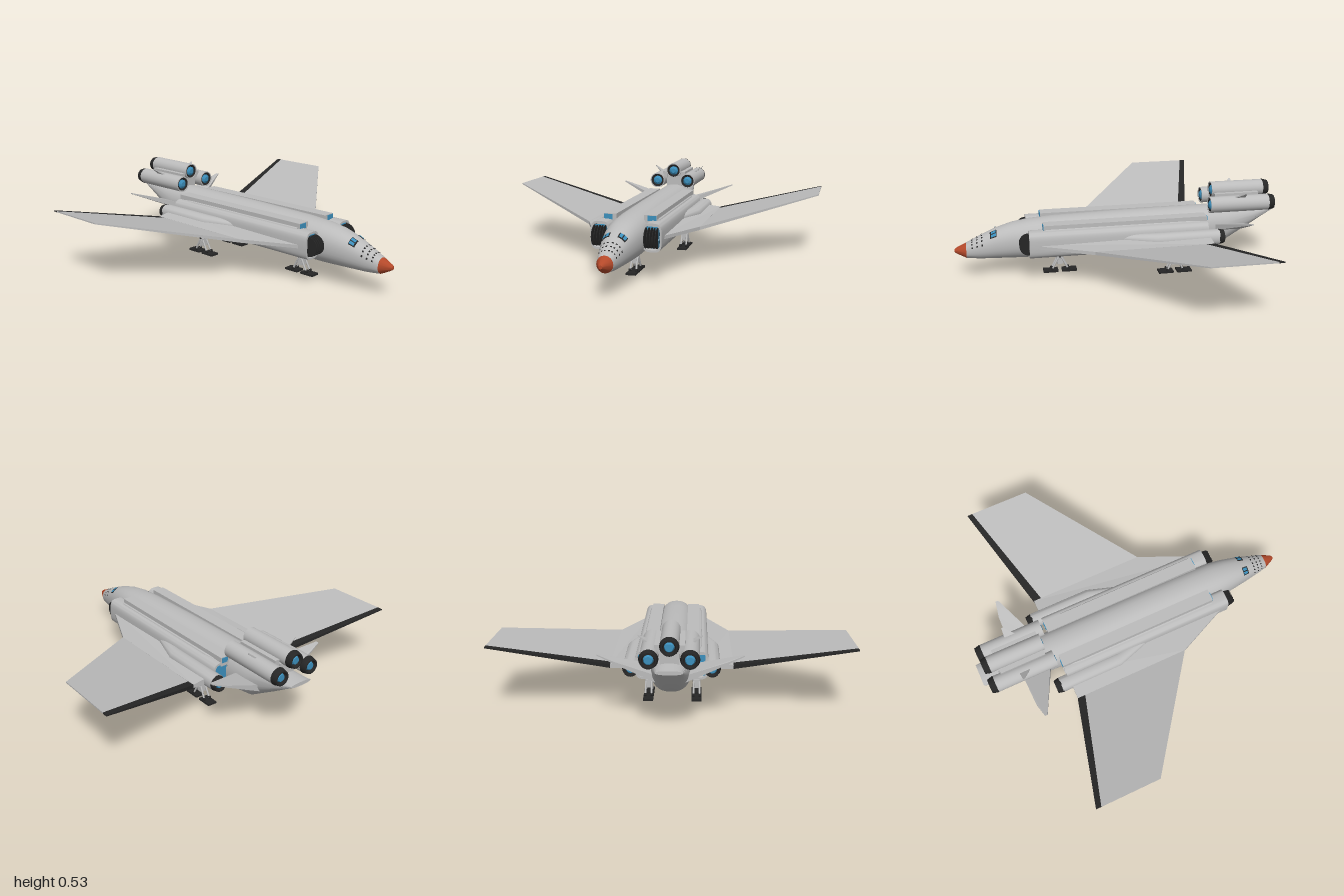
import * as THREE from 'three';
import { toCreasedNormals } from 'three/addons/utils/BufferGeometryUtils.js';

const material = (name, color) => {
  const m = new THREE.MeshStandardMaterial({ color });
  m.name = name;
  return m;
};

// Point on a superellipse section [z, cx, cy, halfWidth, halfHeight]
function ringPoint([z, cx, cy, w, h], a, n) {
  const c = Math.cos(a), s = Math.sin(a);
  return [cx + w * Math.sign(c) * Math.abs(c) ** (2 / n), cy + h * Math.sign(s) * Math.abs(s) ** (2 / n), z];
}

// Skin through sections listed front to back, with both ends capped
function loft(sections, n = 2, sides = 24) {
  const pos = [], index = [];
  for (const sec of sections)
    for (let j = 0; j < sides; j++) pos.push(...ringPoint(sec, (j / sides) * Math.PI * 2, n));
  for (let i = 0; i < sections.length - 1; i++)
    for (let j = 0; j < sides; j++) {
      const k = (j + 1) % sides, a = i * sides + j, b = i * sides + k;
      index.push(a, a + sides, b, b, a + sides, b + sides);
    }
  const last = (sections.length - 1) * sides;
  for (let j = 1; j < sides - 1; j++) index.push(0, j, j + 1, last, last + j + 1, last + j);
  const g = new THREE.BufferGeometry();
  g.setAttribute('position', new THREE.Float32BufferAttribute(pos, 3));
  g.setIndex(index);
  return toCreasedNormals(g, 0.6);
}

// Flat panel from corners [x, y, z, thickness]
function slab(corners) {
  let area = 0;
  corners.forEach((p, i) => {
    const q = corners[(i + 1) % corners.length];
    area += p[2] * q[0] - q[2] * p[0];
  });
  const c = area > 0 ? corners : [...corners].reverse();
  const pos = [];
  const top = (i) => [c[i][0], c[i][1] + c[i][3] / 2, c[i][2]];
  const low = (i) => [c[i][0], c[i][1] - c[i][3] / 2, c[i][2]];
  for (let i = 1; i < c.length - 1; i++)
    pos.push(...top(0), ...top(i), ...top(i + 1), ...low(0), ...low(i + 1), ...low(i));
  for (let i = 0; i < c.length; i++) {
    const k = (i + 1) % c.length;
    pos.push(...top(i), ...low(i), ...low(k), ...top(i), ...low(k), ...top(k));
  }
  const g = new THREE.BufferGeometry();
  g.setAttribute('position', new THREE.Float32BufferAttribute(pos, 3));
  g.computeVertexNormals();
  return g;
}

const HULL_N = 2.3;
const HULL = [[0.93, 0.13, 0.222, 0.045], [0.85, 0.122, 0.262, 0.062], [0.75, 0.12, 0.305, 0.083],
  [0.65, 0.118, 0.335, 0.1], [0.55, 0.117, 0.35, 0.112], [0.4, 0.117, 0.361, 0.114], [0, 0.117, 0.37, 0.114],
  [-0.5, 0.118, 0.375, 0.112], [-0.68, 0.145, 0.378, 0.108], [-0.85, 0.25, 0.376, 0.09], [-1, 0.348, 0.37, 0.07],
].map(([z, lo, hi, w]) => [z, 0, (lo + hi) / 2, w, (hi - lo) / 2]);

// Thin painted patch lying on the hull between two depths and two angles (degrees)
function hullPatch(z0, z1, a0, a1, lift) {
  const g = new THREE.PlaneGeometry(1, 1, 4, 2), p = g.attributes.position;
  for (let i = 0; i < p.count; i++) {
    const a = THREE.MathUtils.degToRad(a1 - (p.getX(i) + 0.5) * (a1 - a0));
    const z = z1 - (p.getY(i) + 0.5) * (z1 - z0);
    const k = HULL.findIndex((s) => s[0] <= z), f = HULL[k - 1], b = HULL[k];
    const t = (f[0] - z) / (f[0] - b[0]);
    const sec = f.map((v, j) => v + (b[j] - v) * t);
    sec[3] += lift;
    sec[4] += lift;
    p.setXYZ(i, ...ringPoint(sec, a, HULL_N));
  }
  g.computeVertexNormals();
  return g;
}

export function createModel() {
  const grey = material('hullGrey', 0xbcbcbc), black = material('black', 0x262626);
  const blue = material('engineBlue', 0x3c8fbc), orange = material('noseOrange', 0xb4492a);
  const model = new THREE.Group();
  model.name = 'spaceplane';
  const add = (name, geo, mat, x = 0, y = 0, z = 0, parent = model) => {
    const m = new THREE.Mesh(geo, mat);
    m.name = name;
    m.position.set(x, y, z);
    parent.add(m);
    return m;
  };
  const box = (name, w, h, d, mat, x, y, z, parent) => add(name, new THREE.BoxGeometry(w, h, d), mat, x, y, z, parent);
  const rod = (name, a, b, r, mat, parent) => {
    const from = new THREE.Vector3(...a), dir = new THREE.Vector3(...b).sub(from);
    const m = add(name, new THREE.CylinderGeometry(r, r, dir.length(), 8), mat, 0, 0, 0, parent);
    m.position.copy(from).addScaledVector(dir, 0.5);
    m.quaternion.setFromUnitVectors(new THREE.Vector3(0, 1, 0), dir.normalize());
  };
  const tube = (x, y, rows) => loft(rows.map(([z, r]) => [z, x, y, r, r]));

  // Fuselage and nose
  add('fuselage', loft(HULL, HULL_N, 32), grey);
  add('noseCone', loft([[1, 0, 0.178, 0.01, 0.01], [0.985, 0, 0.178, 0.02, 0.02],
    [0.93, 0, 0.176, 0.046, 0.047]], 2, 16), orange);

  // Black nozzle with a blue core, opening backwards
  const nozzle = (x, y, z, r) => {
    add('nozzle', tube(x, y, [[z + 0.01, r * 0.98], [z, r * 1.02], [z - 0.032, r * 0.86],
      [z - 0.032, r * 0.7], [z - 0.012, r * 0.6]]), black);
    add('nozzleCore', tube(x, y, [[z - 0.01, r * 0.55], [z - 0.026, r * 0.4]]), blue);
  };

  // Rear engine cluster
  const engine = (x, y, z0, z1) => {
    const r = 0.05;
    add('rearEngine', tube(x, y, [[z0 - 0.03, r * 0.85], [z0, r * 0.88], [z0, r], [z1, r]]), grey);
    add('engineIntake', tube(x, y, [[z0 - 0.012, r * 0.55], [z0 - 0.004, r * 0.87], [z0 - 0.032, r * 0.87]]), black);
    add('intakeCore', tube(x, y, [[z0 + 0.004, r * 0.3], [z0 - 0.006, r * 0.58], [z0 - 0.02, r * 0.6]]), blue);
    nozzle(x, y, z1, r);
  };
  engine(0, 0.475, -0.59, -0.928);
  box('enginePylon', 0.1, 0.09, 0.28, grey, 0, 0.4, -0.75);

  for (const s of [1, -1]) {
    engine(s * 0.105, 0.41, -0.557, -0.935);
    box('engineBrace', 0.03, 0.045, 0.28, grey, s * 0.063, 0.445, -0.74);
    add('engineFin', slab([[s * 0.115, 0.448, -0.71, 0.012], [s * 0.17, 0.488, -0.765, 0.004],
      [s * 0.17, 0.488, -0.775, 0.004], [s * 0.115, 0.448, -0.78, 0.012]]), grey);

    // Main nacelle, open at both ends
    const cx = s * 0.15, cy = 0.245;
    add('nacelle', loft([[0.5, cx, cy, 0.044, 0.066], [0.56, cx, cy, 0.046, 0.069], [0.56, cx, cy, 0.056, 0.081],
      [-0.53, cx, cy, 0.056, 0.081], [-0.53, cx, cy, 0.046, 0.069], [-0.5, cx, cy, 0.044, 0.066]], 3.5, 32), grey);
    box('intakePanel', 0.076, 0.12, 0.006, blue, cx, cy, 0.545);
    box('exhaustPanel', 0.076, 0.12, 0.006, blue, cx, cy, -0.522);
    for (let i = 0; i < 5; i++) {
      const fin = new THREE.CylinderGeometry(0.058, 0.058, 0.004, 24).rotateZ(Math.PI / 2);
      add('intakeVane', fin, black, s * (0.118 + i * 0.016), cy, 0.56);
    }

    // Shoulder duct
    box('shoulderDuct', 0.075, 0.055, 1, grey, s * 0.118, 0.328, -0.03);
    box('ductIntake', 0.05, 0.03, 0.006, blue, s * 0.128, 0.337, 0.471);
    box('ductExhaust', 0.04, 0.03, 0.006, blue, s * 0.13, 0.337, -0.531);
    add('shoulderRail', loft([[0.46, s * 0.16, 0.315, 0.012, 0.018], [-0.4, s * 0.16, 0.315, 0.012, 0.018],
      [-0.52, s * 0.15, 0.315, 0.004, 0.01]], 2, 12), grey);

    // Side pod with its own nozzle
    add('sidePod', loft([[0, s * 0.18, 0.25, 0.025, 0.03], [-0.2, s * 0.225, 0.246, 0.046, 0.046],
      [-0.585, s * 0.225, 0.246, 0.046, 0.046]], 2.3), grey);
    nozzle(s * 0.225, 0.246, -0.585, 0.046);

    // Wings
    add('wingStrake', slab([[s * 0.18, 0.24, 0.56, 0.02], [s * 0.345, 0.238, 0.19, 0.02],
      [s * 0.345, 0.238, -0.525, 0.022], [s * 0.18, 0.245, -0.525, 0.05]]), grey);
    add('wing', slab([[s * 0.34, 0.237, 0.195, 0.02], [s, 0.389, -0.295, 0.007],
      [s, 0.389, -0.66, 0.007], [s * 0.34, 0.237, -0.478, 0.02]]), grey);
    add('wingFlap', slab([[s * 0.345, 0.238, -0.478, 0.021], [s, 0.389, -0.66, 0.008],
      [s, 0.389, -0.692, 0.006], [s * 0.345, 0.238, -0.527, 0.023]]), black);

    // Tail fin
    add('tailFin', slab([[s * 0.08, 0.25, -0.59, 0.04], [s * 0.39, 0.37, -0.728, 0.006], [s * 0.39, 0.37, -0.745, 0.006],
      [s * 0.3, 0.335, -0.765, 0.012], [s * 0.08, 0.25, -0.772, 0.04]]), grey);

    // Cockpit panes and nose vents, measured from the right side round the top
    const patch = (name, z0, z1, a0, a1, lift, mat) =>
      add(name, s > 0 ? hullPatch(z0, z1, a0, a1, lift) : hullPatch(z0, z1, 180 - a1, 180 - a0, lift), mat);
    patch('windowFrame', 0.745, 0.785, 38, 76, 0.002, black);
    for (const a of [42, 59]) patch('windowPane', 0.749, 0.778, a, a + 13, 0.004, blue);
    for (const z of [0.83, 0.86, 0.89])
      for (const a of [15, 38, 58, 76]) patch('noseVent', z, z + 0.009, a, a + 9, 0.002, black);
  }

  // Landing gear: post, hub, splayed legs and ground pads
  const gear = (name, x, z) => {
    const g = new THREE.Group();
    g.name = name;
    g.position.set(x, 0, z);
    model.add(g);
    box('gearHub', 0.036, 0.05, 0.035, grey, 0, 0.075, 0, g);
    rod('gearAxle', [-0.027, 0.105, 0], [0.027, 0.105, 0], 0.009, black, g);
    for (const e of [1, -1]) {
      rod('gearPost', [e * 0.015, 0.08, 0], [e * 0.015, 0.18, 0], 0.008, grey, g);
      rod('gearBrace', [0, 0.11, 0], [0, 0.15, e * 0.03], 0.006, black, g);
      box('gearPad', 0.058, 0.012, 0.092, black, 0, 0.006, e * 0.058, g);
      for (const k of [1, -1]) {
        rod('gearLeg', [k * 0.016, 0.09, e * 0.012], [k * 0.018, 0.012, e * 0.052], 0.006, grey, g);
        rod('gearFoot', [k * 0.012, 0.018, e * 0.05], [k * 0.026, 0.018, e * 0.05], 0.009, black, g);
      }
    }
  };
  gear('noseGear', 0, 0.365);
  for (const s of [1, -1]) gear('mainGear', s * 0.14, -0.338);

  return model;
}
